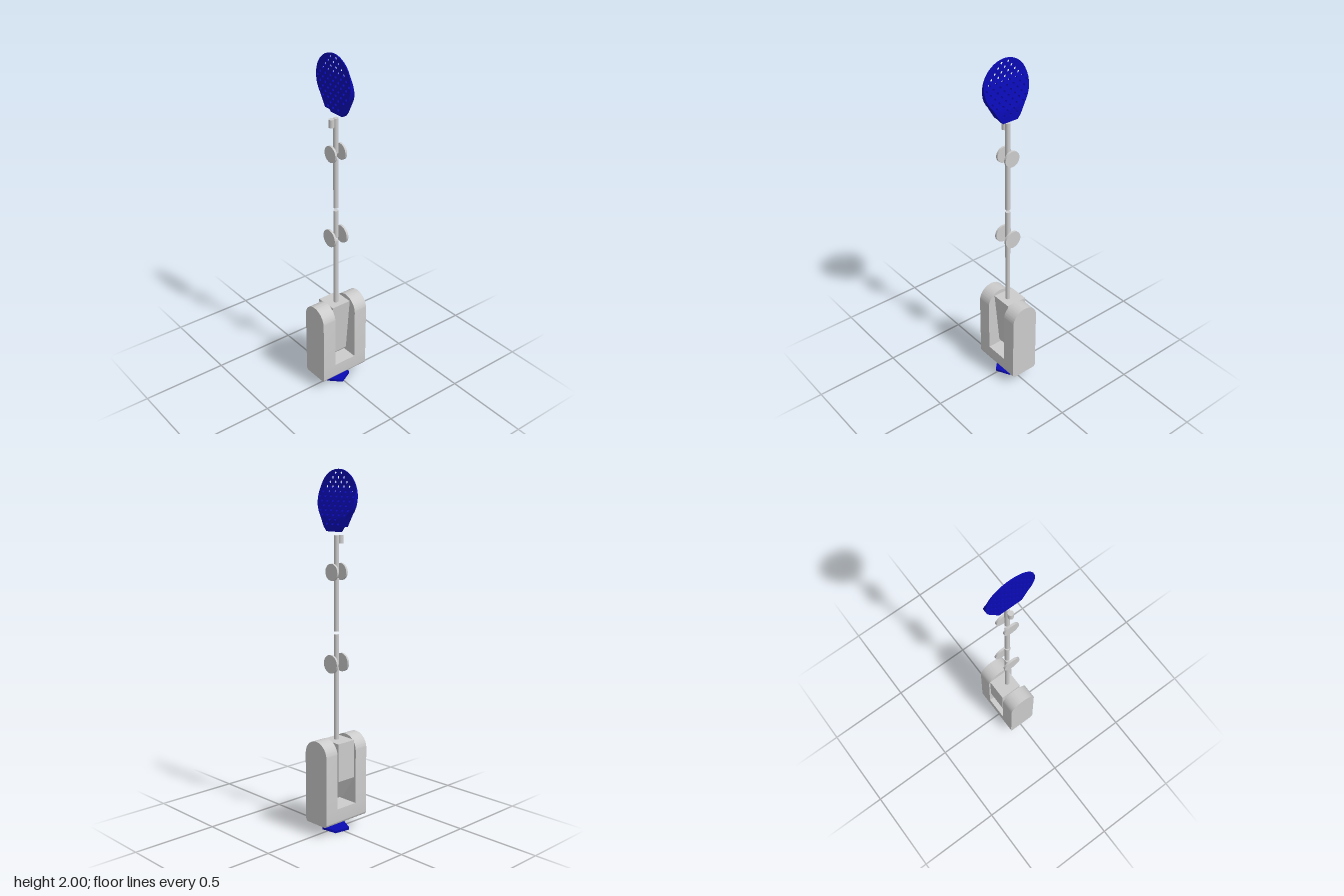
import * as THREE from 'three';
import { toCreasedNormals } from 'three/addons/utils/BufferGeometryUtils.js';

export function createModel() {
  const model = new THREE.Group();
  const grey = new THREE.MeshStandardMaterial({ color: 0xcccccc });
  const blue = new THREE.MeshStandardMaterial({ color: 0x0a0ab4 });
  const axisX = -0.004;

  const add = (name, geometry, material = grey) => {
    const mesh = new THREE.Mesh(geometry, material);
    mesh.name = name;
    model.add(mesh);
    return mesh;
  };
  const polygon = points => new THREE.Shape(points.map(([x, y]) => new THREE.Vector2(x, y)));
  // Extrude a front-view shape between two depths
  const slab = (shape, z0, z1) => new THREE.ExtrudeGeometry(shape,
    { depth: z1 - z0, bevelEnabled: false, curveSegments: 20 }).translate(0, 0, z0);

  // Foot: thin pentagon
  add('footPlate', new THREE.CylinderGeometry(0.079, 0.079, 0.014, 5, 1, false, Math.PI * 1.25)
    .translate(0, 0.007, 0).toNonIndexed(), blue);

  // Fork housing: base with softened lower edges and two round-topped cheeks
  const left = -0.087, right = 0.081, floor = 0.155, r = (right - left) / 2, c = 0.02;
  const base = new THREE.Shape();
  base.moveTo(left, floor);
  base.lineTo(left, 0.065 + c);
  base.quadraticCurveTo(left, 0.065, left + c, 0.065);
  base.lineTo(right - c, 0.065);
  base.quadraticCurveTo(right, 0.065, right, 0.065 + c);
  base.lineTo(right, floor);
  add('housingBase', toCreasedNormals(slab(base, -0.155, 0.153), 0.5));

  const cheek = new THREE.Shape();
  cheek.moveTo(left, floor);
  cheek.lineTo(right, floor);
  cheek.lineTo(right, 0.545 - r);
  cheek.absarc((left + right) / 2, 0.545 - r, r, 0, Math.PI, false);
  cheek.lineTo(left, floor);
  for (const [name, z0, z1] of [['frontCheek', 0.069, 0.153], ['backCheek', -0.155, -0.071]])
    add(name, toCreasedNormals(slab(cheek, z0, z1), 0.5));

  // Wedge-shaped block between the cheeks
  add('pivotBlock', slab(polygon([[-0.083, 0.527], [-0.083, 0.31], [0.005, 0.175],
    [0.012, 0.187], [0.045, 0.53]]), -0.062, 0.06));

  // Arm rods, with gaps at the joints
  for (const [name, y0, y1] of [['lowerRod', 0.52, 0.935], ['lowerRodEnd', 0.955, 1.12],
    ['upperRod', 1.137, 1.425], ['upperRodEnd', 1.46, 1.655]])
    add(name, new THREE.CylinderGeometry(0.014, 0.014, y1 - y0, 24)
      .translate(axisX, (y0 + y1) / 2, 0));

  // Pairs of joint discs
  for (const [name, y, radius, z] of [['lowerJointDisc', 0.96, 0.051, 0.041], ['upperJointDisc', 1.46, 0.046, 0.033]])
    for (const side of [1, -1])
      add(name, new THREE.CylinderGeometry(radius, radius, 0.012, 40)
        .rotateX(Math.PI / 2).translate(axisX, y, side * z));

  // Small peg at the top of the arm
  add('topPeg', new THREE.CylinderGeometry(0.015, 0.015, 0.045, 24)
    .translate(axisX, 1.632, 0.029));

  // Perforated head: round outline tapering to a neck
  const cy = 1.859, radius = 0.141, start = -0.72;
  const head = new THREE.Shape();
  head.moveTo(-0.067, 1.7);
  head.lineTo(0.067, 1.7);
  head.absarc(0, cy, radius, start, Math.PI - start, false);
  head.lineTo(-0.067, 1.7);

  // Staggered rows of through holes
  for (let row = 0; row < 12; row++) {
    const y = 1.716 + row * 0.024;
    for (let i = -4; i <= 4; i++) {
      const x = (i + (row % 2) / 2) * 0.042;
      const inside = Math.hypot(x, y - cy) < radius - 0.014;
      const inTaper = y > 1.77 || Math.abs(x) < 0.052 + (y - 1.7) * 0.85;
      if (!inside && !(y < 1.75 && Math.abs(x) < 0.05) || !inTaper) continue;
      const hole = new THREE.Path();
      hole.absarc(x, y, 0.0075, 0, Math.PI * 2, true);
      head.holes.push(hole);
    }
  }

  // The back face swells towards the neck
  const headGeometry = new THREE.ExtrudeGeometry(head,
    { depth: 1, bevelEnabled: false, curveSegments: 14 });
  const pos = headGeometry.attributes.position;
  for (let i = 0; i < pos.count; i++) {
    const t = THREE.MathUtils.clamp((1.91 - pos.getY(i)) / 0.17, 0, 1);
    pos.setZ(i, pos.getZ(i) > 0.5 ? 0.021 : 0.015 - 0.042 * t);
  }
  add('perforatedHead', toCreasedNormals(headGeometry, 0.6), blue);

  // Step under the head, set to the back
  add('headNeck', slab(polygon([[-0.067, 1.7], [-0.047, 1.675], [0.047, 1.675], [0.067, 1.7]]),
    -0.027, 0), blue);

  return model;
}
